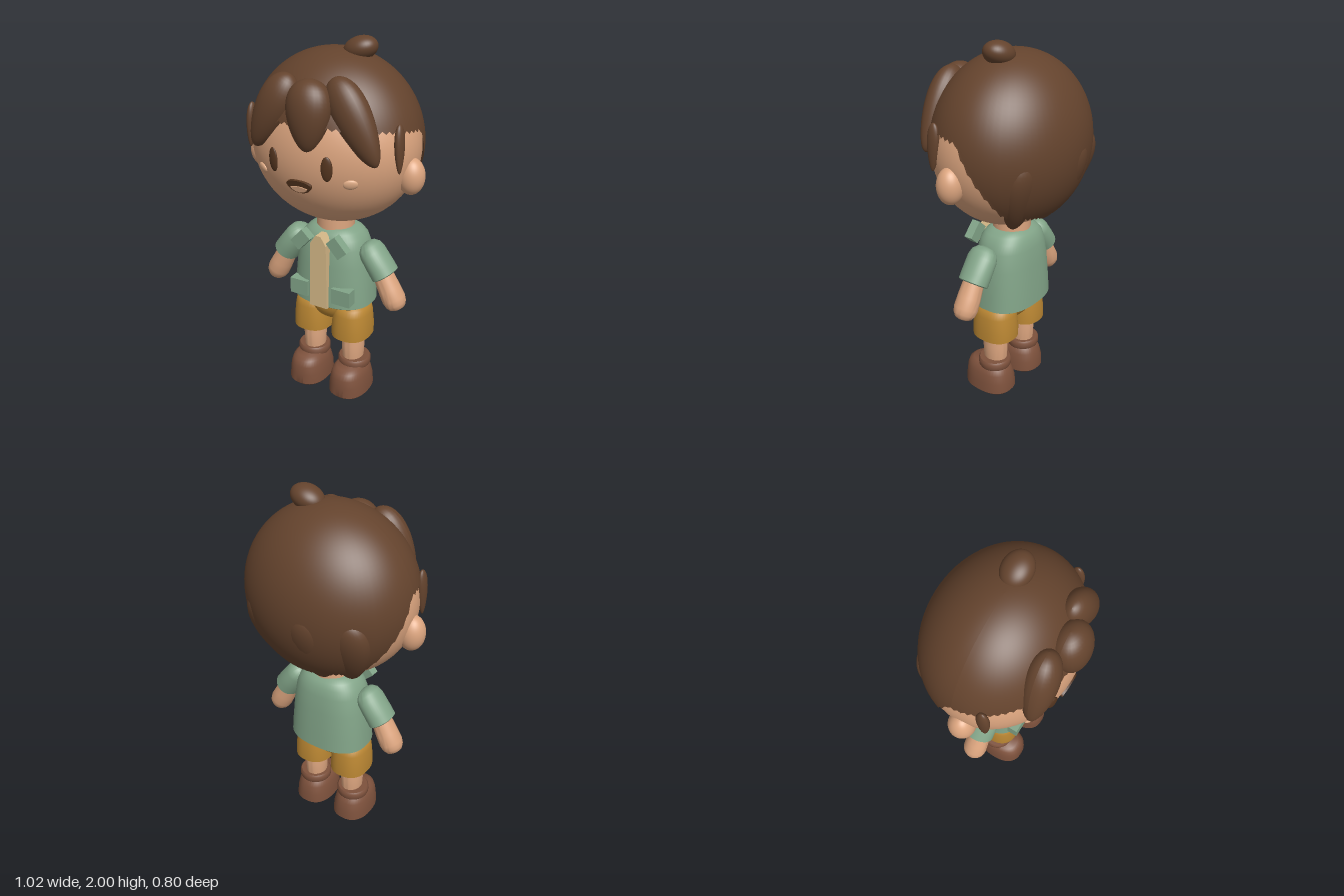
import * as THREE from 'three';
import { toCreasedNormals } from 'three/addons/utils/BufferGeometryUtils.js';

const mat = (name, color, side = THREE.FrontSide) => {
  const m = new THREE.MeshStandardMaterial({ color, side });
  m.name = name;
  return m;
};

// Stack of superellipse rings [y, rx, rz, zOffset], capped at both ends
function loft(rings, n = 2, seg = 40) {
  const pos = [], idx = [];
  const pw = (v) => Math.sign(v) * Math.abs(v) ** (2 / n);
  for (const [y, rx, rz, zc = 0] of rings)
    for (let j = 0; j < seg; j++) {
      const a = (j / seg) * Math.PI * 2;
      pos.push(rx * pw(Math.sin(a)), y, zc + rz * pw(Math.cos(a)));
    }
  const last = rings.length - 1, base = rings.length * seg;
  pos.push(0, rings[0][0], rings[0][3] ?? 0, 0, rings[last][0], rings[last][3] ?? 0);
  for (let j = 0; j < seg; j++) {
    const k = (j + 1) % seg;
    for (let i = 0; i < last; i++) {
      const a = i * seg + j, b = i * seg + k;
      idx.push(a, b, b + seg, a, b + seg, a + seg);
    }
    idx.push(base, k, j, base + 1, last * seg + j, last * seg + k);
  }
  const g = new THREE.BufferGeometry();
  g.setAttribute('position', new THREE.Float32BufferAttribute(pos, 3));
  g.setIndex(idx);
  return toCreasedNormals(g, 0.75);
}

const ellipsoid = (rx, ry, rz) => new THREE.SphereGeometry(1, 40, 28).scale(rx, ry, rz);

// Teardrop, narrower toward -y
function lockGeometry(rx, ry, rz) {
  const g = new THREE.SphereGeometry(1, 28, 24), p = g.attributes.position;
  for (let i = 0; i < p.count; i++) {
    const f = 1 + 0.28 * p.getY(i);
    p.setXYZ(i, p.getX(i) * f * rx, p.getY(i) * ry, p.getZ(i) * f * rz);
  }
  g.computeVertexNormals();
  return g;
}

const HEAD = { y: 1.46, rx: 0.455, ry: 0.42, rz: 0.37 };
const headZ = (x, y) =>
  HEAD.rz * Math.sqrt(1 - (x / HEAD.rx) ** 2 - ((y - HEAD.y) / HEAD.ry) ** 2);

// Ellipsoid cap whose lower edge follows the hairline
function hairCapGeometry() {
  const g = new THREE.SphereGeometry(1, 72, 40), p = g.attributes.position, uv = g.attributes.uv;
  const cy = 1.48, ry = 0.46;
  for (let i = 0; i < p.count; i++) {
    const a = uv.getX(i) * Math.PI * 2, s = Math.sin(a);
    let edge = 1.57 + 0.05 * s;
    if (s < -0.05) edge = s > -0.55 ? 1.567 + (s + 0.05) * 0.75 : 1.19 + (s + 0.55) * 0.15;
    const t = (1 - uv.getY(i)) * Math.acos((edge - cy) / ry);
    p.setXYZ(i, -0.465 * Math.sin(t) * Math.cos(a), cy + ry * Math.cos(t), 0.385 * Math.sin(t) * s - 0.005);
  }
  g.computeVertexNormals();
  return g;
}

export function createModel() {
  const model = new THREE.Group();
  model.name = 'child';
  const skin = mat('skin', 0xdba47e), blush = mat('blush', 0xe0ac86);
  const hair = mat('hair', 0x64432d, THREE.DoubleSide), dark = mat('dark brown', 0x54351f);
  const green = mat('jacket green', 0x82a488), cream = mat('shirt cream', 0xd6b988);
  const mustard = mat('shorts mustard', 0xbb8733), leather = mat('shoe leather', 0x7d513c);

  const add = (name, geo, m, x = 0, y = 0, z = 0) => {
    const mesh = new THREE.Mesh(geo, m);
    mesh.name = name;
    mesh.position.set(x, y, z);
    model.add(mesh);
    return mesh;
  };
  // Centre a part between two points, its +y toward top
  const between = (mesh, top, tip) => {
    const a = new THREE.Vector3(...top), b = new THREE.Vector3(...tip);
    mesh.position.copy(a).add(b).multiplyScalar(0.5);
    mesh.quaternion.setFromUnitVectors(new THREE.Vector3(0, 1, 0), a.sub(b).normalize());
  };
  const lock = (name, top, tip, rx, rz) => {
    const len = new THREE.Vector3(...top).distanceTo(new THREE.Vector3(...tip));
    between(add(name, lockGeometry(rx, len / 2, rz), hair), top, tip);
  };
  const faceTilt = (mesh, x, y) => {
    const z = headZ(x, y);
    mesh.position.set(x, y, z);
    mesh.quaternion.setFromUnitVectors(new THREE.Vector3(0, 0, 1), new THREE.Vector3(
      x / HEAD.rx ** 2, (y - HEAD.y) / HEAD.ry ** 2, z / HEAD.rz ** 2).normalize());
  };

  // Head
  add('head', new THREE.SphereGeometry(1, 56, 40).scale(HEAD.rx, HEAD.ry, HEAD.rz), skin, 0, HEAD.y, 0);
  add('neck', new THREE.CylinderGeometry(0.1, 0.105, 0.16, 32), skin, 0, 1.02, 0);

  // Hair
  add('hairCap', hairCapGeometry(), hair);
  lock('fringeMiddle', [0.035, 1.84, 0.3], [0.045, 1.5, 0.35], 0.112, 0.088);
  lock('fringeRight', [-0.09, 1.84, 0.27], [-0.285, 1.475, 0.31], 0.095, 0.08);
  lock('fringeLeft', [0.13, 1.845, 0.25], [0.365, 1.455, 0.26], 0.095, 0.075);
  lock('backLockMiddle', [-0.06, 1.53, -0.35], [-0.05, 1.06, -0.15], 0.13, 0.09);
  lock('backLockLeft', [0.24, 1.52, -0.28], [0.17, 1.08, -0.14], 0.12, 0.08);
  lock('backLockRight', [-0.26, 1.52, -0.28], [-0.2, 1.1, -0.14], 0.12, 0.08);
  add('hairTuft', ellipsoid(0.09, 0.06, 0.074), hair, 0.125, 1.935, -0.02).rotation.z = 0.3;

  for (const s of [1, -1]) {
    const side = s > 0 ? 'left' : 'right';
    lock(side + 'Sideburn', [s * 0.42, 1.64, 0.14], [s * 0.432, 1.4, 0.15], 0.022, 0.034);

    // Face details
    add(side + 'Ear', ellipsoid(0.07, 0.095, 0.068), skin, s * 0.441, 1.355, 0.03);
    faceTilt(add(side + 'Eye', ellipsoid(0.029, 0.062, 0.012), dark), s * 0.15, 1.435);
    faceTilt(add(side + 'Cheek', ellipsoid(0.036, 0.026, 0.012), blush), s * 0.25, 1.36);

    // Jacket collar and pockets
    add(side + 'Collar', new THREE.BoxGeometry(0.07, 0.105, 0.05), green, s * 0.11, 0.945, 0.168)
      .rotation.z = s * 0.75;
    add(side + 'Pocket', new THREE.BoxGeometry(0.11, 0.09, 0.06), green, s * 0.13, 0.65, 0.153);

    // Sleeve and arm
    const sleeve = loft([[-0.1, 0.066, 0.076], [-0.095, 0.074, 0.084], [-0.05, 0.073, 0.085], [0.04, 0.068, 0.085],
      [0.075, 0.06, 0.074], [0.098, 0.04, 0.05], [0.106, 0.015, 0.02]]);
    between(add(side + 'Sleeve', sleeve, green), [s * 0.2, 0.93, 0.015], [s * 0.315, 0.765, 0.015]);
    const arm = loft([[-0.12, 0.03, 0.03], [-0.112, 0.045, 0.046], [-0.09, 0.058, 0.06], [-0.06, 0.064, 0.066],
      [0, 0.061, 0.064], [0.12, 0.052, 0.054]]);
    between(add(side + 'Arm', arm, skin), [s * 0.285, 0.8, 0.02], [s * 0.398, 0.585, 0.02]);

    // Shorts leg, leg and shoe
    add(side + 'ShortsLeg', loft([[0.35, 0.1, 0.115], [0.357, 0.11, 0.126], [0.41, 0.11, 0.127], [0.5, 0.102, 0.118],
      [0.54, 0.093, 0.11], [0.56, 0.07, 0.085]], 2.4), mustard, s * 0.122, 0, 0.02);
    add(side + 'Leg', loft([[0.16, 0.055, 0.064], [0.22, 0.06, 0.07], [0.29, 0.063, 0.073],
      [0.38, 0.055, 0.064]]), skin, s * 0.126, 0, 0.02);
    add(side + 'ShoeCuff', loft([[0.155, 0.088, 0.088], [0.165, 0.093, 0.093], [0.195, 0.093, 0.093],
      [0.205, 0.086, 0.086]]), leather, s * 0.134, 0, 0.018);
    add(side + 'Shoe', loft([[0.003, 0.104, 0.138, 0.05], [0.012, 0.112, 0.146, 0.05], [0.07, 0.109, 0.144, 0.051],
      [0.12, 0.1, 0.136, 0.055], [0.155, 0.088, 0.122, 0.057], [0.172, 0.07, 0.1, 0.056]], 2.4),
      leather, s * 0.133, 0, 0);
  }

  // Mouth: dark smile with a light inner crescent
  const mouthShape = new THREE.Shape();
  mouthShape.moveTo(-0.07, 0.012);
  mouthShape.bezierCurveTo(-0.06, 0.042, 0.06, 0.042, 0.07, 0.012);
  mouthShape.bezierCurveTo(0.062, -0.05, -0.062, -0.05, -0.07, 0.012);
  const tongueShape = new THREE.Shape();
  tongueShape.moveTo(-0.048, -0.004);
  tongueShape.quadraticCurveTo(0, 0.012, 0.048, -0.004);
  tongueShape.bezierCurveTo(0.035, -0.036, -0.035, -0.036, -0.048, -0.004);
  const plate = (shape, z0, depth) =>
    new THREE.ExtrudeGeometry(shape, { depth, bevelEnabled: false, curveSegments: 16 }).translate(0, 0, z0);
  faceTilt(add('mouth', plate(mouthShape, -0.01, 0.02), dark), 0, 1.325);
  faceTilt(add('mouthInside', plate(tongueShape, 0.005, 0.009), blush), 0, 1.325);

  // Jacket body and shirt front
  add('jacket', loft([[0.56, 0.222, 0.165], [0.567, 0.232, 0.174], [0.65, 0.226, 0.17], [0.8, 0.212, 0.16],
    [0.9, 0.195, 0.15], [0.95, 0.176, 0.138], [0.98, 0.15, 0.12], [1.0, 0.115, 0.095]], 2.5, 56), green);
  const front = new THREE.Shape([[-0.055, 0.565], [0.052, 0.565], [0.047, 0.94], [0.015, 0.99], [-0.015, 0.99],
    [-0.05, 0.94]].map(([x, y]) => new THREE.Vector2(x, y)));
  add('shirtFront', plate(front, 0.125, 0.065), cream);

  // Hips of the shorts
  add('hips', ellipsoid(0.17, 0.13, 0.125), mustard, 0, 0.555, 0.015);
  return model;
}
